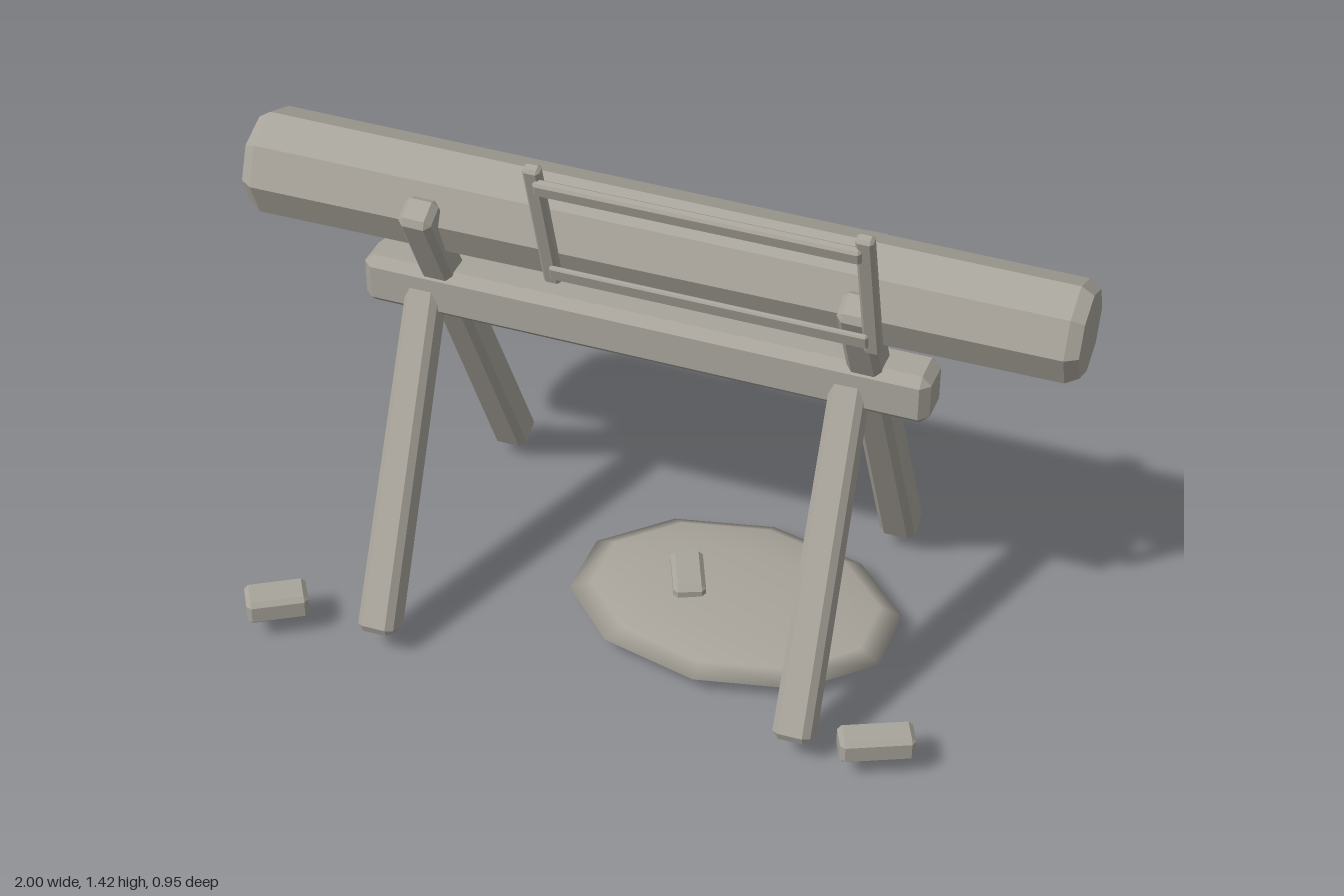
import * as THREE from 'three';
import { ConvexGeometry } from 'three/addons/geometries/ConvexGeometry.js';

const wood = new THREE.MeshStandardMaterial({ color: 0xa8a49b });
wood.name = 'weathered grey wood';

// Box with chamfered edges and corners; the top (+y) end can taper
function chamferBox(w, h, d, c, taper = 1) {
  const pts = [];
  for (const sx of [-1, 1]) for (const sy of [-1, 1]) for (const sz of [-1, 1]) {
    const k = sy > 0 ? taper : 1;
    const add = (ix, iy, iz) => pts.push(new THREE.Vector3(
      sx * (w / 2 - ix) * k, sy * (h / 2 - iy), sz * (d / 2 - iz) * k));
    add(0, c, c);
    add(c, 0, c);
    add(c, c, 0);
  }
  return new ConvexGeometry(pts);
}

function part(parent, name, geometry, x = 0, y = 0, z = 0) {
  const mesh = new THREE.Mesh(geometry, wood);
  mesh.name = name;
  mesh.position.set(x, y, z);
  parent.add(mesh);
  return mesh;
}

// Straight timber between two points
function strut(parent, name, from, to, size, taper) {
  const a = new THREE.Vector3(...from), b = new THREE.Vector3(...to);
  const dir = b.clone().sub(a);
  const mesh = part(parent, name, chamferBox(size, dir.length(), size, 0.016, taper));
  mesh.position.copy(a).add(b).multiplyScalar(0.5);
  mesh.quaternion.setFromUnitVectors(new THREE.Vector3(0, 1, 0), dir.normalize());
}

// Eight-sided log with slightly bevelled ends: rings of x, y, z, radius
function logGeometry() {
  const pts = [];
  const rings = [
    [-1, 1.07, -0.035, 0.11], [-0.97, 1.07, -0.035, 0.13],
    [0.97, 1.055, -0.058, 0.12], [1, 1.055, -0.058, 0.102],
  ];
  for (const [x, y, z, r] of rings) {
    for (let i = 0; i < 8; i++) {
      const a = i * Math.PI / 4;
      pts.push(new THREE.Vector3(x, y + r * Math.cos(a), z + r * Math.sin(a)));
    }
  }
  return new ConvexGeometry(pts);
}

export function createModel() {
  const model = new THREE.Group();
  model.name = 'sawhorse';

  part(model, 'log', logGeometry());
  part(model, 'crossBeam', chamferBox(1.395, 0.13, 0.12, 0.022), -0.03, 0.823, -0.03);

  // Crossed legs: each runs past the beam to cradle the log on the far side
  const legs = [
    ['rightFrontLeg', -0.562, -0.583, 1], ['rightBackLeg', -0.557, -0.535, -1],
    ['leftFrontLeg', 0.493, 0.468, 1], ['leftBackLeg', 0.497, 0.515, -1],
  ];
  for (const [name, footX, topX, s] of legs) {
    strut(model, name, [footX, 0.062, -0.03 + s * 0.418], [topX, 1.12, -0.03 - s * 0.14], 0.092, 0.88);
  }

  // Frame saw leaning against the log
  const saw = new THREE.Group();
  saw.name = 'frameSaw';
  saw.position.set(0.2, 1.242, 0.226);
  saw.rotation.x = 0.288;
  model.add(saw);
  for (const s of [-1, 1]) part(saw, 'sawPost', chamferBox(0.04, 0.385, 0.03, 0.007), s * 0.375);
  part(saw, 'sawTopRail', chamferBox(0.74, 0.04, 0.024, 0.006), 0, 0.146, 0.015);
  part(saw, 'sawBlade', chamferBox(0.74, 0.04, 0.014, 0.004), 0, -0.142, 0.018);

  // Flat heap of sawdust under the cut
  const heap = part(model, 'sawdustHeap', new THREE.SphereGeometry(1, 10, 6).rotateY(Math.PI / 2), 0.2, 0.05, -0.03);
  heap.scale.set(0.42, 0.045, 0.3);

  // Offcuts: x, y, z, length, height, width, turn
  const offcuts = [
    [-0.83, 0.086, 0.4, 0.15, 0.064, 0.09, 0.55],
    [0.682, 0.086, 0.355, 0.177, 0.064, 0.078, 0.44],
    [0.078, 0.098, -0.03, 0.15, 0.04, 0.08, -1.16],
    [0.405, 0.098, -0.045, 0.22, 0.04, 0.085, 1.77],
  ];
  for (const [x, y, z, l, h, w, turn] of offcuts) {
    part(model, 'offcut', chamferBox(l, h, w, 0.011), x, y, z).rotation.y = turn;
  }
  return model;
}
